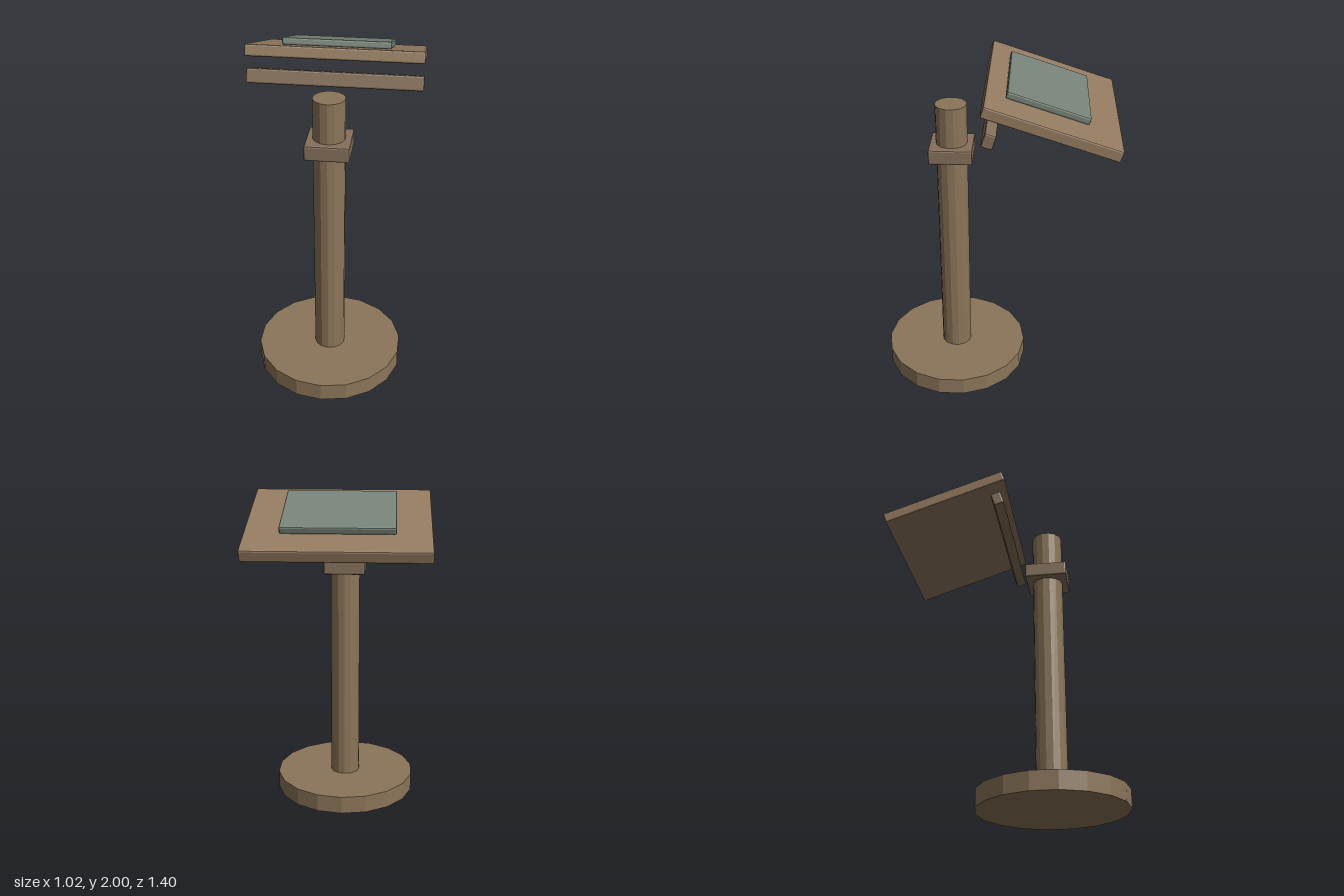
import * as THREE from 'three';
import { RoundedBoxGeometry } from 'three/addons/geometries/RoundedBoxGeometry.js';

const material = (color) => new THREE.MeshStandardMaterial({ color, flatShading: true });
const wood = material(0x8b7559);
const darkWood = material(0x85705a);
const boardWood = material(0x947b60);
const slate = material(0x778478);

const STAND_Z = 0.253;
const TILT = -THREE.MathUtils.degToRad(18);

export function createModel() {
  const model = new THREE.Group();
  model.name = 'lectern';

  const add = (parent, name, geometry, mat, x, y, z) => {
    const mesh = new THREE.Mesh(geometry, mat);
    mesh.name = name;
    mesh.position.set(x, y, z);
    parent.add(mesh);
    return mesh;
  };
  const softBox = (w, h, d) => new RoundedBoxGeometry(w, h, d, 1, 0.01);

  // Stand: round foot, post and square collar
  const stand = new THREE.Group();
  stand.name = 'stand';
  stand.position.z = STAND_Z;
  model.add(stand);
  add(stand, 'base', new THREE.CylinderGeometry(0.445, 0.445, 0.11, 18), wood, 0, 0.055, 0);
  add(stand, 'post', new THREE.CylinderGeometry(0.093, 0.093, 1.69, 14), wood, 0, 0.945, 0);
  add(stand, 'collar', softBox(0.256, 0.09, 0.256), darkWood, 0, 1.505, 0);

  // Tilted desk: board, raised panel on top and a separate rail below its high edge
  const desk = new THREE.Group();
  desk.name = 'desk';
  desk.position.set(0, 1.843, -0.323);
  desk.rotation.x = TILT;
  model.add(desk);
  add(desk, 'board', softBox(1.016, 0.068, 0.772), boardWood, 0, 0, 0);
  add(desk, 'panel', softBox(0.628, 0.042, 0.474), slate, 0, 0.054, 0.04);

  const rail = add(model, 'rail', softBox(1.016, 0.086, 0.064), darkWood, 0, 1.797, 0.008);
  rail.rotation.x = TILT;

  return model;
}
